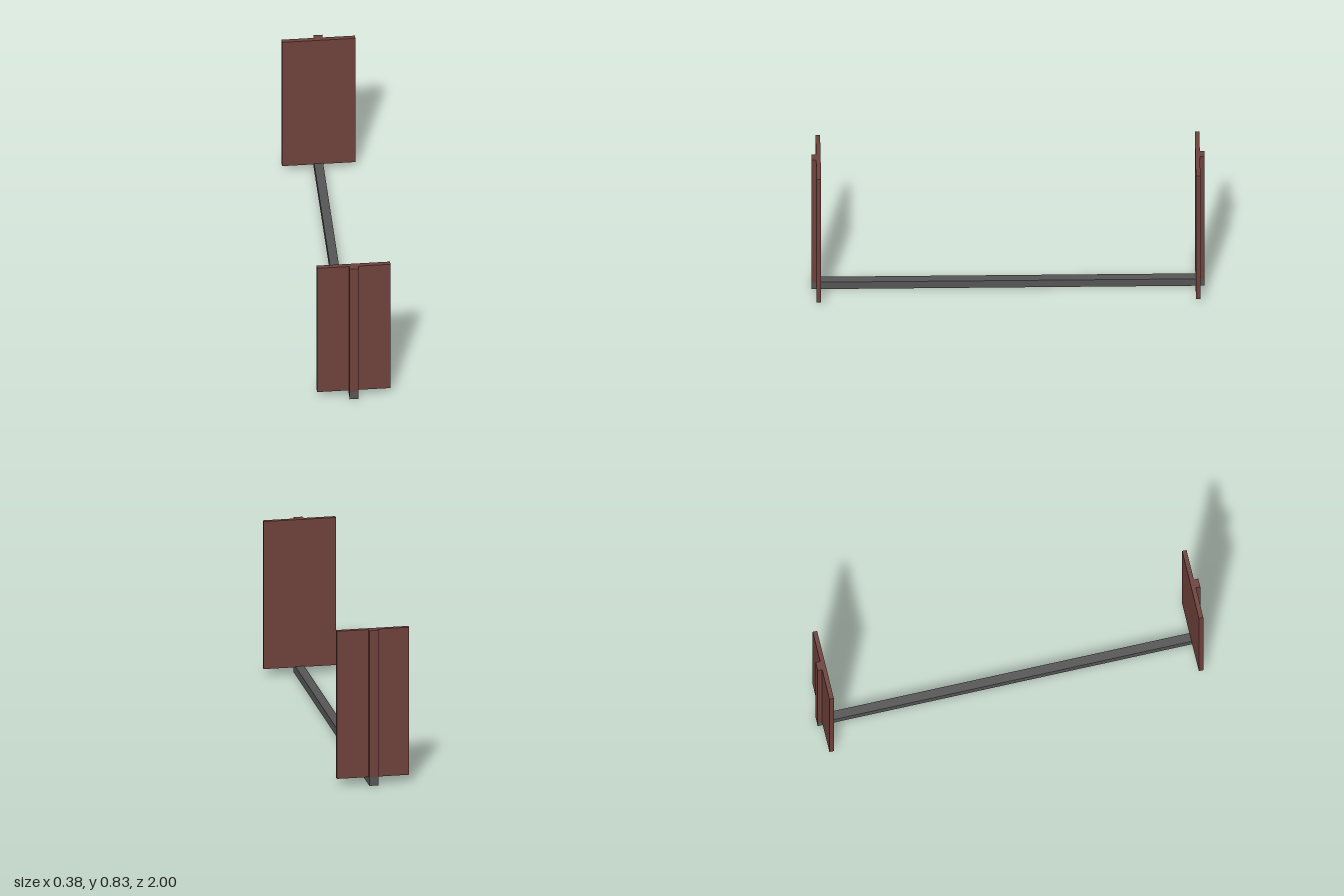
import * as THREE from 'three';

export function createModel() {
  const model = new THREE.Group();
  const steel = new THREE.MeshStandardMaterial({ color: 0x555555 });
  steel.name = 'dark grey';
  const wood = new THREE.MeshStandardMaterial({ color: 0x6e413b });
  wood.name = 'reddish brown';

  // Box given by its size and the centre of its base
  function box(name, material, [w, h, d], [x, y, z]) {
    const mesh = new THREE.Mesh(new THREE.BoxGeometry(w, h, d), material);
    mesh.name = name;
    mesh.position.set(x, y + h / 2, z);
    return mesh;
  }

  // Long floor beam joining both ends
  model.add(box('beam', steel, [0.046, 0.044, 2], [0, 0, 0]));

  // An upright panel with a narrow post on its outer face, at each end
  for (const [end, side] of [['front', 1], ['back', -1]]) {
    const upright = new THREE.Group();
    upright.name = end + 'Upright';
    upright.add(
      box('panel', wood, [0.375, 0.786, 0.023], [0, 0.04, side * 0.9655]),
      box('post', wood, [0.046, 0.782, 0.023], [0, 0.044, side * 0.9885])
    );
    model.add(upright);
  }
  return model;
}
